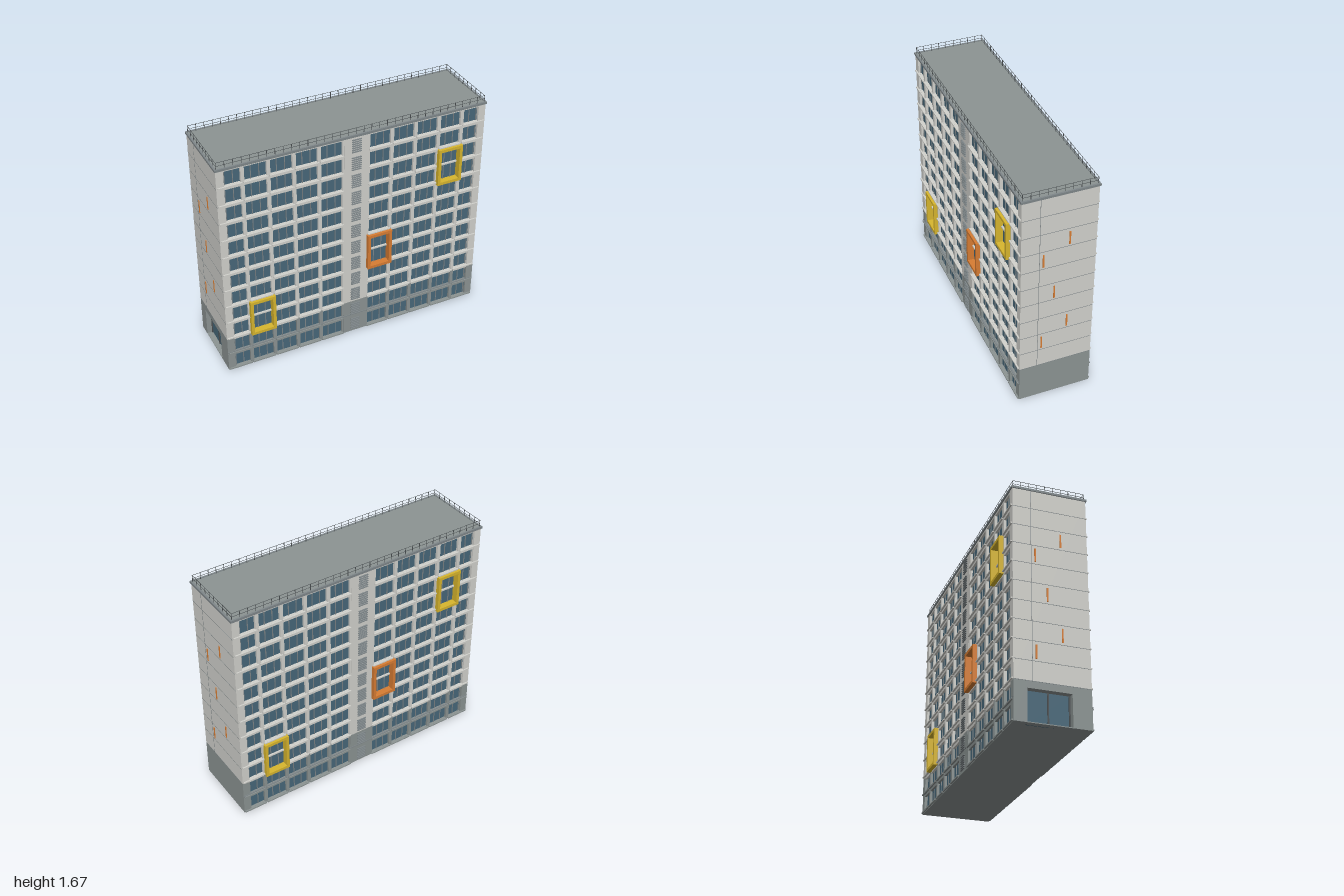
import * as THREE from 'three';
import { mergeGeometries } from 'three/addons/utils/BufferGeometryUtils.js';

const mat = (name, color) => {
  const m = new THREE.MeshStandardMaterial({ color });
  m.name = name;
  return m;
};

const FLOORS = 12, BAYS = 11;
const FLOOR = 0.134, BAY = 0.1745;
const HX = 0.96, HZ = 0.252;          // half sizes of the walls
const TOP = FLOORS * FLOOR;
const BASE = 2 * FLOOR;               // height of the dark plinth storeys
const GLASS_Z = 0.234;

export function createModel() {
  const M = {
    wall: mat('paleWall', 0xd2d2cd),
    base: mat('slateGrey', 0x8c9493),
    glass: mat('blueGlass', 0x48687a),
    metal: mat('darkMetal', 0x4c5153),
    trim: mat('greyTrim', 0x7f878a),
    yellow: mat('yellow', 0xd8b62e),
    orange: mat('orange', 0xd87d33),
  };

  // box from centre and size
  const box = (x, y, z, w, h, d) => new THREE.BoxGeometry(w, h, d).translate(x, y, z);
  const add = (group, name, material, boxes) => {
    const mesh = new THREE.Mesh(mergeGeometries(boxes), material);
    mesh.name = name;
    group.add(mesh);
    return mesh;
  };
  const bayX = (i) => (i - (BAYS - 1) / 2) * BAY;

  // projecting two-storey frames: bay, lowest floor, colour
  const features = [
    { bay: 1, floor: 2, material: M.yellow, name: 'lowerYellowFrame' },
    { bay: 6, floor: 4, material: M.orange, name: 'orangeFrame' },
    { bay: 9, floor: 8, material: M.yellow, name: 'upperYellowFrame' },
  ];
  const insideFeature = (bay, f) => features.some((p) => p.bay === bay && p.floor + 1 === f);

  // one long face, looking towards +z
  function createFacade() {
    const g = new THREE.Group();
    const pale = [], dark = [], ledges = [], darkLedges = [], mullions = [], slats = [], bars = [];
    const depth = HZ - 0.22, zc = (HZ + 0.22) / 2;

    // piers between the bays
    for (let i = 0; i <= BAYS; i++) {
      const edge = i === 0 ? 0.006 : i === BAYS ? -0.006 : 0;
      const x = bayX(i) - BAY / 2 + edge;
      const w = edge ? 0.012 : 0.024;
      pale.push(box(x, (TOP + BASE) / 2, zc, w, TOP - BASE, depth));
      dark.push(box(x, BASE / 2, zc, w, BASE, depth));
    }

    for (let i = 0; i < BAYS; i++) {
      const x = bayX(i);
      const stair = i === 5;
      if (stair) {
        pale.push(box(x, (TOP + BASE) / 2, zc, BAY, TOP - BASE, depth + 0.002));
        dark.push(box(x, BASE / 2, zc, BAY, BASE, depth + 0.002));
      }
      for (let f = 0; f <= FLOORS; f++) {
        const y = f * FLOOR;
        // spandrel and its ledge
        if (!stair && !insideFeature(i, f)) {
          const lo = Math.max(0, y - 0.014), hi = Math.min(TOP, y + 0.014);
          (f < 2 ? dark : pale).push(box(x, (lo + hi) / 2, zc, BAY - 0.02, hi - lo, depth - 0.002));
          if (f < FLOORS) {
            (f < 2 ? darkLedges : ledges).push(box(x, y + 0.009, HZ, BAY - 0.01, 0.009, 0.022));
          }
        }
        if (insideFeature(i, f)) bars.push(box(x, y, GLASS_Z + 0.006, BAY - 0.024, 0.01, 0.014));
        if (f === FLOORS) continue;
        // stair louvres or window divisions
        if (stair) {
          for (let k = 0; k < 7; k++) {
            slats.push(box(x, y + 0.022 + k * 0.015, HZ + 0.005, 0.068, 0.005, 0.012));
          }
        } else {
          for (const s of [-0.028, 0.028]) {
            mullions.push(box(x + s, y + FLOOR / 2, GLASS_Z + 0.002, 0.005, FLOOR - 0.02, 0.006));
          }
        }
      }
    }
    add(g, 'upperFacade', M.wall, pale);
    add(g, 'plinthFacade', M.base, dark);
    add(g, 'windowLedges', M.wall, ledges);
    add(g, 'plinthLedges', M.base, darkLedges);
    add(g, 'windowMullions', M.trim, mullions);
    add(g, 'stairLouvres', M.trim, slats);
    add(g, 'frameCrossbars', M.wall, bars);
    add(g, 'plinthBand', M.trim, [box(0, FLOOR + 0.018, HZ, 2 * HX, 0.005, 0.012)]);

    // coloured frames
    for (const p of features) {
      const x = bayX(p.bay), y = (p.floor + 1) * FLOOR;
      const w = 0.182, h = 0.278, t = 0.021, z0 = 0.222, z1 = 0.281;
      const z = (z0 + z1) / 2, d = z1 - z0;
      add(g, p.name, p.material, [
        box(x - (w - t) / 2, y, z, t, h, d),
        box(x + (w - t) / 2, y, z, t, h, d),
        box(x, y - (h - t) / 2, z, w - 2 * t, t, d),
        box(x, y + (h - t) / 2, z, w - 2 * t, t, d),
      ]);
    }
    return g;
  }

  // upper part of one end wall, looking towards +x
  function createEnd() {
    const g = new THREE.Group();
    add(g, 'endWall', M.wall, [box(HX - 0.025, (TOP + BASE) / 2, 0, 0.052, TOP - BASE, 2 * HZ + 0.002)]);
    const joints = [box(HX + 0.001, (TOP + BASE) / 2, 0.13, 0.002, TOP - BASE, 0.003)];
    for (let f = 2; f < FLOORS; f++) {
      joints.push(box(HX + 0.001, f * FLOOR, 0, 0.002, 0.003, 2 * HZ));
    }
    add(g, 'panelJoints', M.trim, joints);
    const stripes = [[9, -0.07], [8, 0.104], [6, 0.025], [4, -0.07], [3, 0.104]];
    add(g, 'endStripes', M.orange,
      stripes.map(([f, z]) => box(HX + 0.002, f * FLOOR + 0.063, z, 0.006, 0.096, 0.01)));
    return g;
  }

  const building = new THREE.Group();
  building.name = 'building';

  add(building, 'glazedCore', M.glass, [box(0, TOP / 2, 0, 2 * HX - 0.09, TOP - 0.004, 2 * GLASS_Z)]);
  add(building, 'groundSlab', M.base, [box(0, 0.003, 0, 2 * HX, 0.006, 2 * HZ)]);

  // mirrored halves by half a turn
  for (let k = 0; k < 2; k++) {
    const facade = createFacade(), end = createEnd();
    facade.name = k ? 'backFacade' : 'frontFacade';
    end.name = k ? 'leftHandEnd' : 'rightHandEnd';
    facade.rotation.y = end.rotation.y = k * Math.PI;
    building.add(facade, end);
  }

  // plinths of the ends, one with an entrance recess
  const ex = HX - 0.025, et = 0.052, ez = HZ + 0.001;
  add(building, 'plainPlinth', M.base, [box(ex, BASE / 2, 0, et, BASE, 2 * ez)]);
  const d0 = -0.165, d1 = 0.125, dh = 0.22;
  add(building, 'entrancePlinth', M.base, [
    box(-ex, BASE / 2, (d0 - ez) / 2, et, BASE, d0 + ez),
    box(-ex, BASE / 2, (d1 + ez) / 2, et, BASE, ez - d1),
    box(-ex, (BASE + dh) / 2, (d0 + d1) / 2, et, BASE - dh, d1 - d0),
  ]);
  const doorX = -HX + 0.043;
  add(building, 'entranceDoor', M.glass, [box(doorX, dh / 2, (d0 + d1) / 2, 0.006, dh, d1 - d0)]);
  add(building, 'entranceDoorFrame', M.metal, [d0 + 0.006, (d0 + d1) / 2, d1 - 0.006].map(
    (z) => box(doorX - 0.005, dh / 2, z, 0.008, dh, 0.01)));

  // roof and rim
  const rx = 0.967, rz = 0.26, rimY = TOP + 0.006;
  add(building, 'roof', M.base, [box(0, TOP + 0.004, 0, 2 * rx - 0.01, 0.012, 2 * rz - 0.01)]);
  const rim = [];
  for (const s of [-1, 1]) {
    rim.push(box(0, rimY, s * (rz - 0.006), 2 * rx, 0.016, 0.012));
    rim.push(box(s * (rx - 0.006), rimY, 0, 0.012, 0.016, 2 * rz - 0.024));
  }
  add(building, 'roofRim', M.trim, rim);

  // railing
  const rails = [], px = rx - 0.014, pz = rz - 0.014, y0 = TOP + 0.01, y1 = 1.667;
  const post = (x, z) => rails.push(box(x, (y0 + y1) / 2, z, 0.003, y1 - y0, 0.003));
  for (const s of [-1, 1]) {
    for (let i = 0; i <= 34; i++) post(-px + (2 * px * i) / 34, s * pz);
    for (let i = 1; i < 9; i++) post(s * px, -pz + (2 * pz * i) / 9);
    for (const y of [1.642, y1 - 0.001]) {
      rails.push(box(0, y, s * pz, 2 * px, 0.002, 0.002));
      rails.push(box(s * px, y, 0, 0.002, 0.002, 2 * pz));
    }
  }
  add(building, 'roofRailing', M.metal, rails);

  building.rotation.y = THREE.MathUtils.degToRad(20);
  const model = new THREE.Group();
  model.name = 'apartmentBlock';
  model.add(building);
  return model;
}
